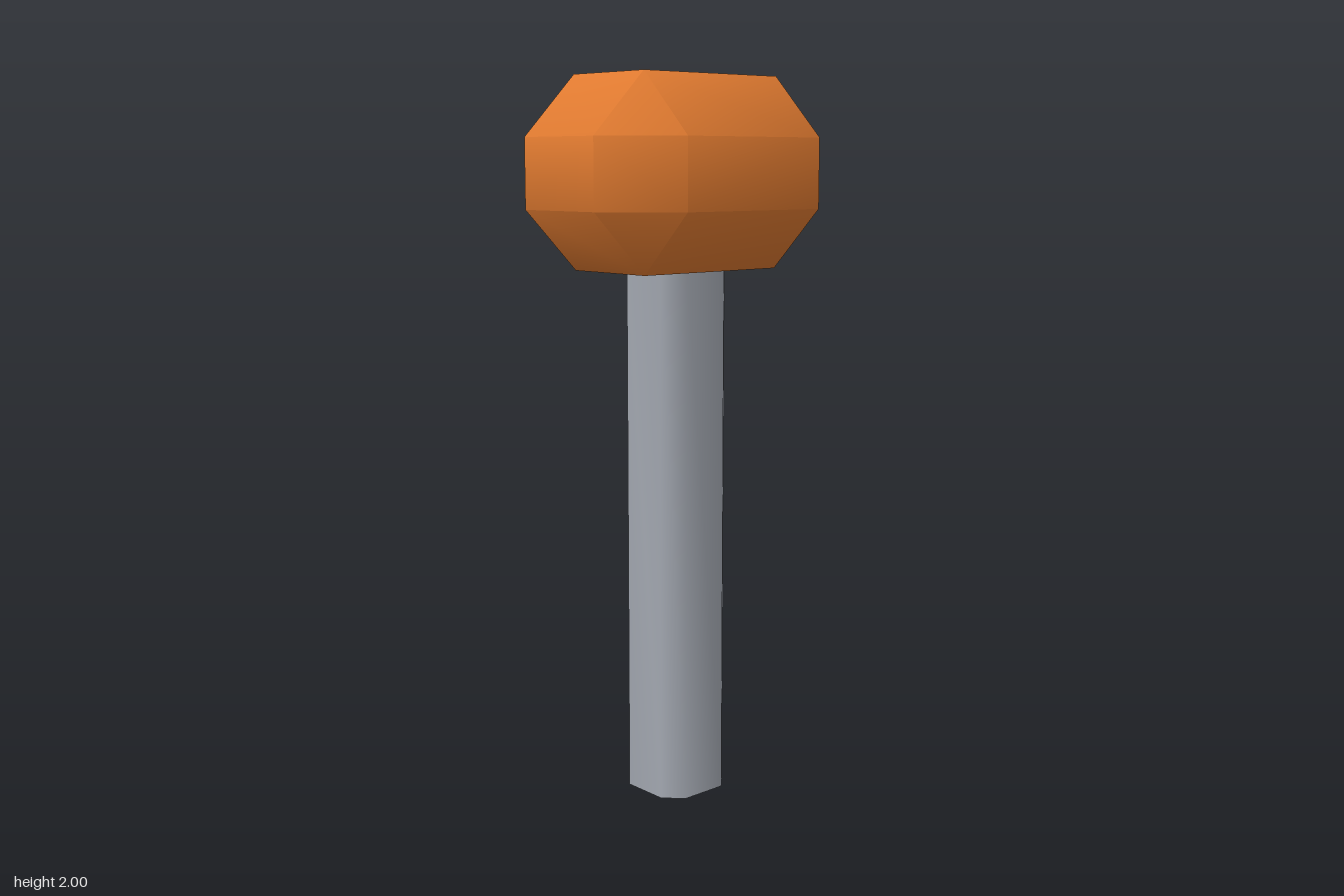
import * as THREE from 'three';
import { toCreasedNormals } from 'three/addons/utils/BufferGeometryUtils.js';
import { ConvexGeometry } from 'three/addons/geometries/ConvexGeometry.js';

const CREASE = THREE.MathUtils.degToRad(50);

// Box with every edge and corner cut back by the same bevel
function chamferedBox(hx, hy, hz, bevel) {
  const points = [];
  for (const sx of [-1, 1]) for (const sy of [-1, 1]) for (const sz of [-1, 1]) {
    for (let axis = 0; axis < 3; axis++) {
      const p = [hx, hy, hz].map((h, i) => (i === axis ? h : h - bevel));
      points.push(new THREE.Vector3(sx * p[0], sy * p[1], sz * p[2]));
    }
  }
  return toCreasedNormals(new ConvexGeometry(points), CREASE);
}

// Upright square post with only its long edges cut back
function chamferedPost(half, bevel, height) {
  const a = half, b = half - bevel;
  const outline = [[a, -b], [a, b], [b, a], [-b, a], [-a, b], [-a, -b], [-b, -a], [b, -a]];
  const shape = new THREE.Shape(outline.map(([x, y]) => new THREE.Vector2(x, y)));
  const geometry = new THREE.ExtrudeGeometry(shape, { depth: height, bevelEnabled: false });
  geometry.rotateX(-Math.PI / 2);
  return toCreasedNormals(geometry, CREASE);
}

export function createModel() {
  const orange = new THREE.MeshStandardMaterial({ color: 0xe07a30 });
  orange.name = 'orange';
  const grey = new THREE.MeshStandardMaterial({ color: 0xa3a8b1 });
  grey.name = 'steel grey';

  const group = new THREE.Group();
  group.name = 'mallet';

  // Handle, running slightly into the head
  const handle = new THREE.Mesh(chamferedPost(0.118, 0.049, 1.52), grey);
  handle.name = 'handle';

  // Head, longest from front to back
  const head = new THREE.Mesh(chamferedBox(0.309, 0.26, 0.403, 0.166), orange);
  head.name = 'head';
  head.position.y = 1.74;

  group.add(handle, head);
  return group;
}
